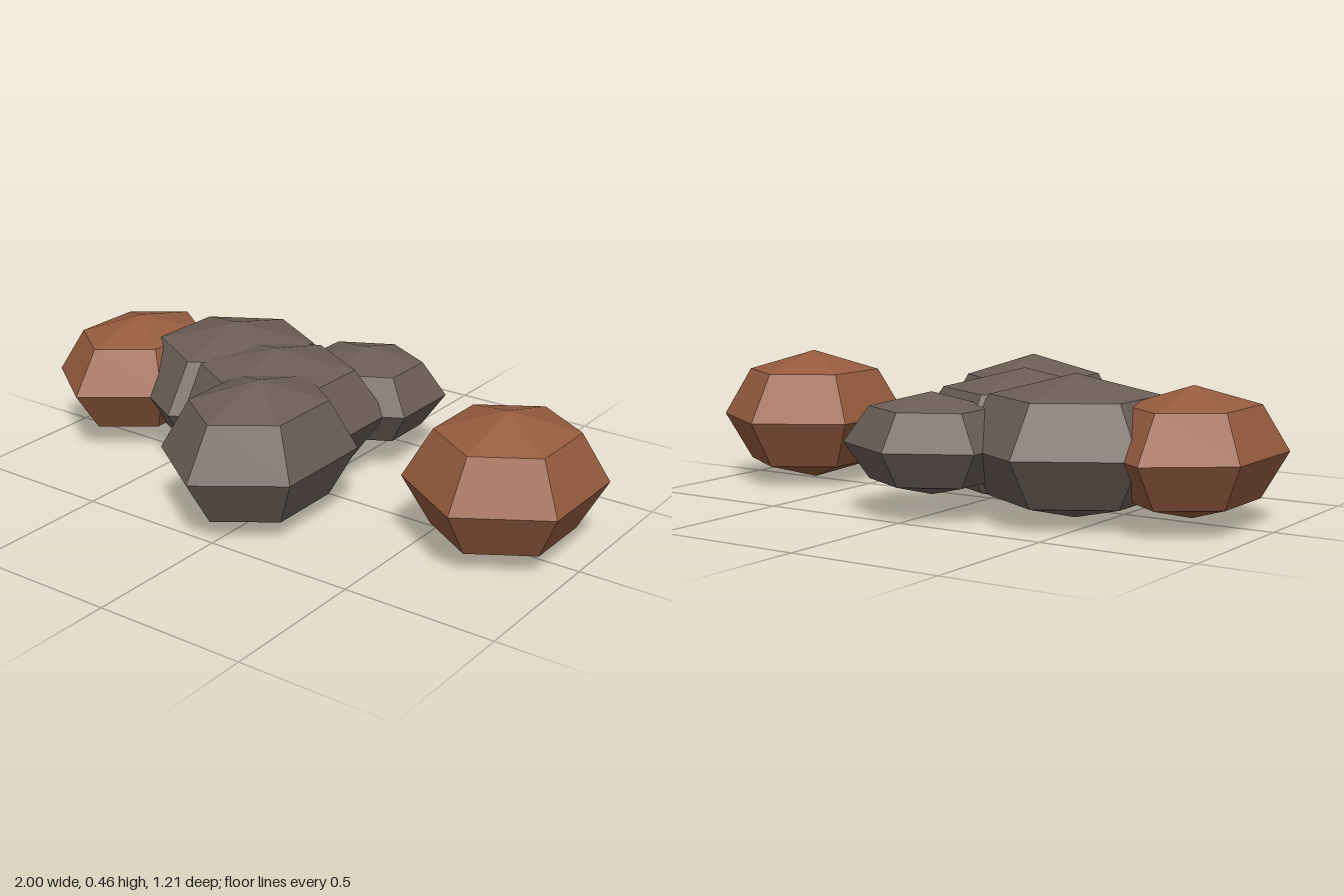
import * as THREE from 'three';

export function createModel() {
  const group = new THREE.Group();
  const stone = new THREE.MeshStandardMaterial({ color: 0x6b5e56, flatShading: true });
  const clay = new THREE.MeshStandardMaterial({ color: 0x965c3f, flatShading: true });

  // Six-sided faceted boulder with corners pointing front and back
  const boulder = new THREE.SphereGeometry(1, 6, 4).rotateY(Math.PI / 2);

  const addRock = (name, material, [x, z], [rx, ry, rz]) => {
    const mesh = new THREE.Mesh(boulder, material);
    mesh.name = name;
    mesh.position.set(x, 0.231, z);
    mesh.scale.set(rx, ry, rz);
    group.add(mesh);
  };

  // Cluster of grey boulders
  addRock('greyRockLarge', stone, [-0.41, -0.15], [0.371, 0.222, 0.37]);
  addRock('greyRockMiddle', stone, [-0.157, -0.04], [0.372, 0.215, 0.35]);
  addRock('greyRockFront', stone, [-0.012, 0.242], [0.292, 0.228, 0.358]);
  addRock('greyRockBack', stone, [-0.015, -0.349], [0.283, 0.16, 0.256]);

  // Reddish boulders at either end
  addRock('redRockRight', clay, [-0.765, -0.065], [0.271, 0.2, 0.345]);
  addRock('redRockLeft', clay, [0.73, -0.01], [0.308, 0.222, 0.331]);

  return group;
}
